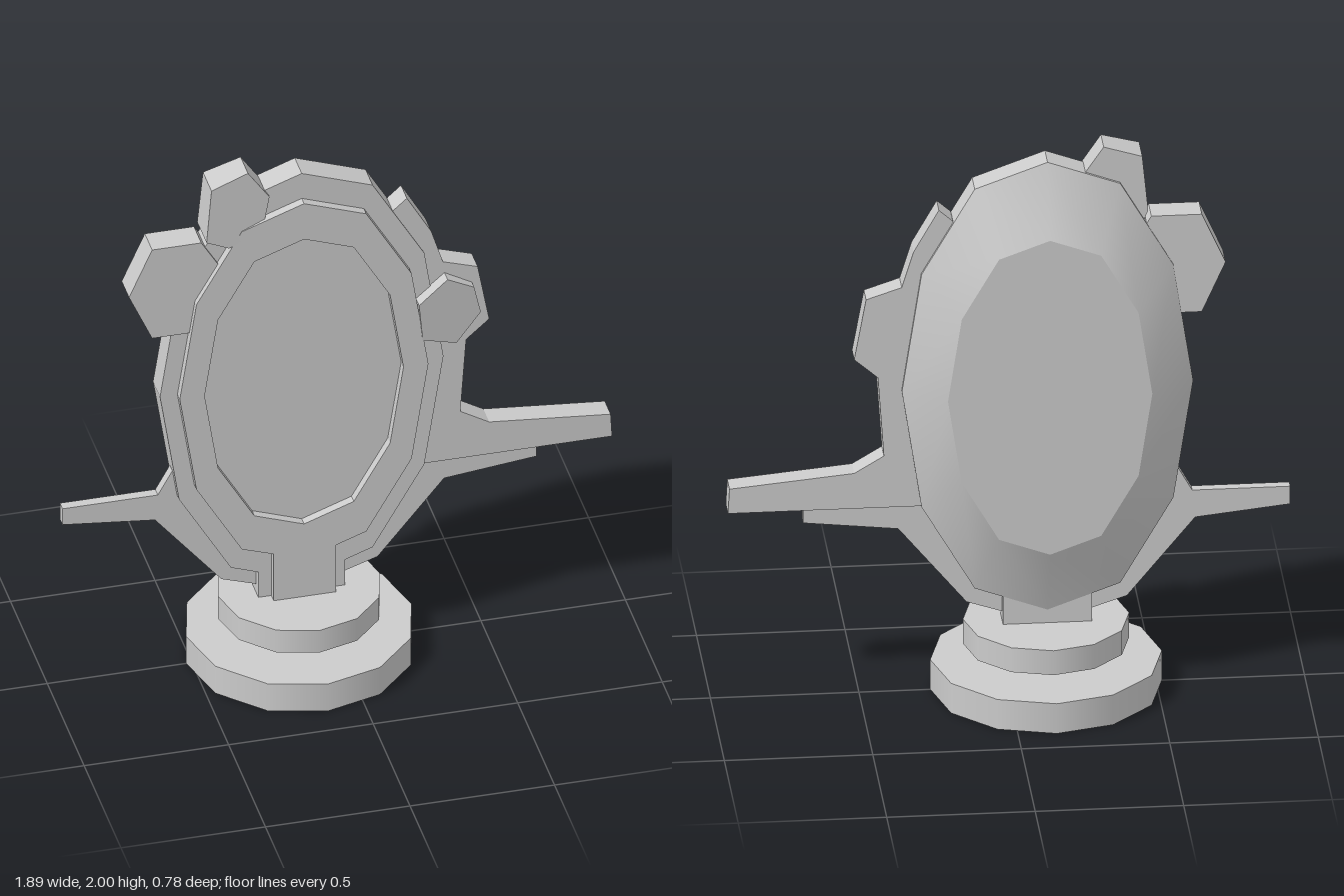
import * as THREE from 'three';

const CX = -0.13, CY = 1.13;
const mat = new THREE.MeshStandardMaterial({ color: 0xcccccc });
const thin = new THREE.MeshStandardMaterial({ color: 0xcccccc, side: THREE.DoubleSide });

// One quarter of the twelve-sided oval, from the side corner to the top corner
const QUARTER = [[0.43, 0], [0.372, 0.377], [0.215, 0.647], [0, 0.725]];

// Oval corners, counter-clockwise from +x, scaled about the oval centre
function oval(s) {
  const [a, b, c, d] = QUARTER;
  const all = [a, b, c, d, [-c[0], c[1]], [-b[0], b[1]], [-a[0], 0],
    [-b[0], -b[1]], [-c[0], -c[1]], [0, -d[1]], [c[0], -c[1]], [b[0], -b[1]]];
  return all.map(([x, y]) => [CX + x * s, CY + y * s]);
}

const toPath = (pts) => pts.map(([x, y]) => new THREE.Vector2(x, y));

// Prism of a front outline between two depths
function slab(pts, z0, z1, hole) {
  const shape = new THREE.Shape(toPath(pts));
  if (hole) shape.holes.push(new THREE.Path(toPath(hole)));
  return new THREE.ExtrudeGeometry(shape, { depth: z1 - z0, bevelEnabled: false }).translate(0, 0, z0);
}

// Prism whose front face is tilted: front depth follows the rule f(x, y)
function tilted(pts, z0, f) {
  const g = slab(pts, z0, z0 + 0.1);
  const p = g.attributes.position;
  for (let i = 0; i < p.count; i++) {
    if (p.getZ(i) > z0 + 0.05) p.setZ(i, f(p.getX(i), p.getY(i)));
  }
  g.computeVertexNormals();
  return g;
}

// Sloping wall of the back between two ovals
function backWall() {
  const outer = oval(1.14), inner = oval(0.8), n = outer.length;
  const pos = [], idx = [];
  outer.forEach(([x, y]) => pos.push(x, y, -0.055));
  inner.forEach(([x, y]) => pos.push(x, y, -0.15));
  for (let i = 0; i < n; i++) {
    const j = (i + 1) % n;
    idx.push(i, n + j, j, i, n + i, n + j);
  }
  const g = new THREE.BufferGeometry();
  g.setAttribute('position', new THREE.Float32BufferAttribute(pos, 3));
  g.setIndex(idx);
  g.computeVertexNormals();
  return g;
}

export function createModel() {
  const model = new THREE.Group();
  const add = (name, geo, material = mat) => {
    const m = new THREE.Mesh(geo, material);
    m.name = name;
    model.add(m);
    return m;
  };

  // Round foot, hollow under the post
  const foot = new THREE.Group();
  foot.name = 'foot';
  const side = new THREE.Mesh(new THREE.CylinderGeometry(0.39, 0.39, 0.11, 12, 1, true), mat);
  side.position.y = 0.055;
  const top = new THREE.Mesh(new THREE.CircleGeometry(0.39, 12).rotateX(-Math.PI / 2), mat);
  top.position.y = 0.11;
  const under = new THREE.Shape();
  for (let i = 0; i < 12; i++) {
    const a = i * Math.PI / 6;
    under[i ? 'lineTo' : 'moveTo'](0.39 * Math.cos(a), 0.39 * Math.sin(a));
  }
  under.holes.push(new THREE.Path(toPath([[-0.15, -0.05], [-0.11, 0.07], [0.11, 0.07], [0.15, -0.05]])));
  const bottom = new THREE.Mesh(new THREE.ShapeGeometry(under).rotateX(Math.PI / 2), mat);
  foot.add(side, top, bottom);
  foot.position.x = CX;
  model.add(foot);

  // Collar around the post
  add('collar', new THREE.CylinderGeometry(0.28, 0.28, 0.09, 12)).position.set(CX, 0.21, 0);

  // Post behind the frame neck
  add('post', slab([[-0.28, 0.03], [0.02, 0.03], [0.02, 0.42], [-0.28, 0.42]], -0.055, 0.04));

  // Oval body with its sloped back
  add('body', slab(oval(1.14), -0.055, 0.04));
  add('backWall', backWall(), thin);
  add('backPanel', new THREE.ShapeGeometry(new THREE.Shape(toPath(oval(0.8)))).translate(0, 0, -0.15), thin);

  // Raised front frame with its neck, open around the sunken pane
  const ring = oval(1);
  ring.splice(9, 1, [-0.235, 0.445], [-0.235, 0.03], [-0.02, 0.03], [-0.02, 0.445]);
  add('frontFrame', slab(ring, 0.04, 0.072, oval(0.8)));

  // Thin lower wings, mirrored about the oval's axis
  const half = [[0.15, 0.29], [0.27, 0.33], [0.5, 0.61], [0.82, 0.645], [0.82, 0.71], [0.49, 0.71], [0.44, 0.8]];
  const wings = [...half.map(([x, y]) => [CX + x, y]), ...half.slice().reverse().map(([x, y]) => [CX - x, y])];
  add('lowerWings', slab(wings, -0.025, 0.01));

  // Side plate with the long arm
  add('sidePlate', slab([[0.1, 0.7], [0.945, 0.7], [0.94, 0.79], [0.52, 0.83], [0.42, 0.89], [0.44, 1.18],
    [0.52, 1.25], [0.48, 1.47], [0.36, 1.51], [0.32, 1.64], [0.235, 1.79], [0.19, 1.75], [0.1, 1.6]], -0.045, 0.035));

  // Six-sided ornaments on the rim
  add('largeOrnament', slab([[-0.73, 1.56], [-0.65, 1.38], [-0.5, 1.38], [-0.42, 1.5],
    [-0.42, 1.64], [-0.48, 1.74], [-0.65, 1.74]], -0.05, 0.05));
  add('topOrnament', tilted([[-0.47, 1.76], [-0.39, 1.72], [-0.27, 1.77], [-0.245, 1.89],
    [-0.32, 2], [-0.45, 1.96]], -0.045, (x, y) => 0.085 - 0.1 * (x + 0.47) - 0.05 * (y - 1.72)));
  add('ornamentBridge', slab([[-0.47, 1.76], [-0.42, 1.64], [-0.3, 1.6], [-0.27, 1.77]], -0.045, 0.04));
  add('sideOrnament', tilted([[0.28, 1.23], [0.4, 1.19], [0.485, 1.3], [0.46, 1.41],
    [0.365, 1.465], [0.265, 1.38]], 0.03, (x, y) => 0.075 - 0.1 * (x - 0.365) + 0.05 * (y - 1.4)));

  return model;
}
